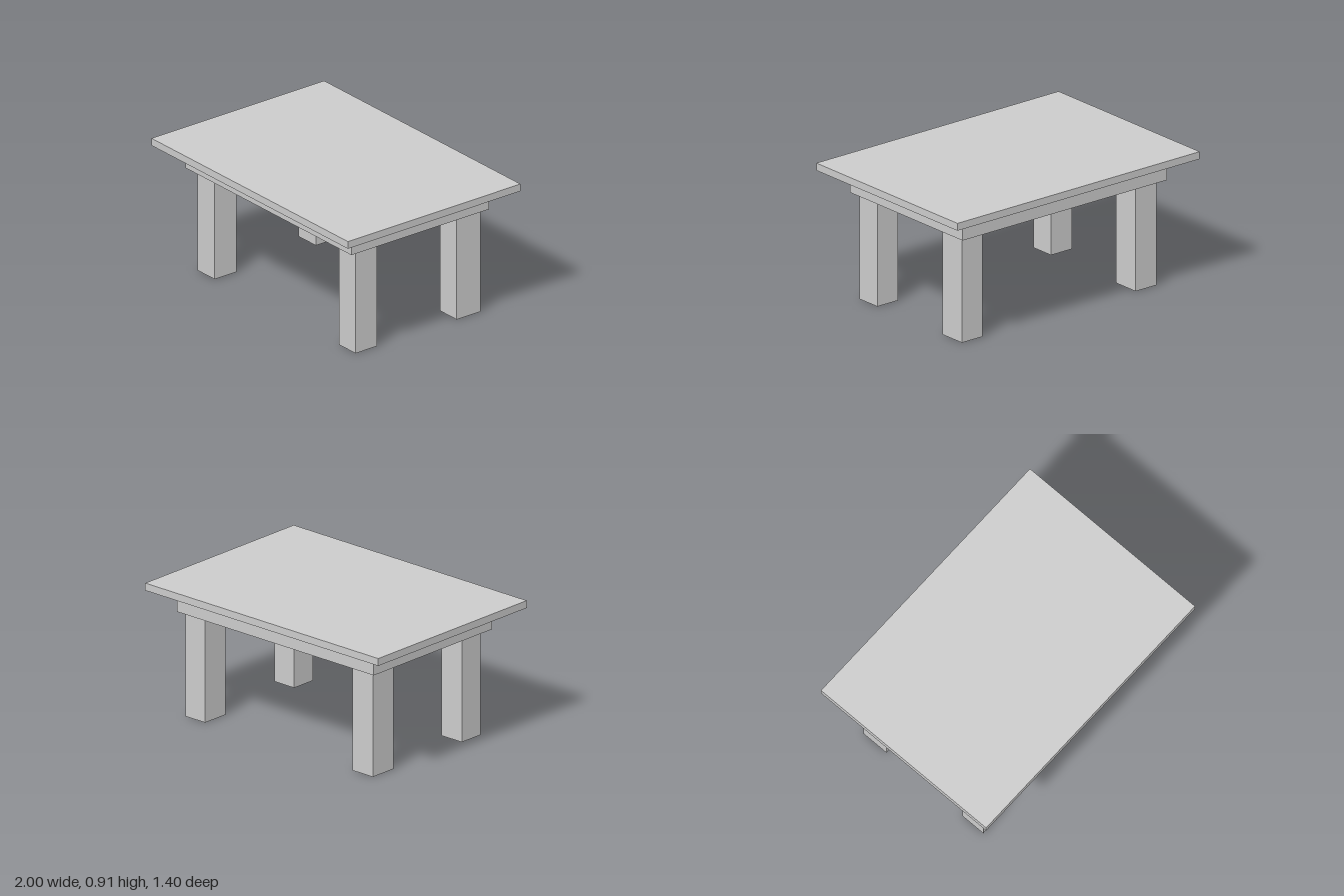
import * as THREE from 'three';

const material = new THREE.MeshStandardMaterial({ color: 0xcccccc, flatShading: true });

// Box given by its low and high limits on each axis
function block(name, [x0, x1], [y0, y1], [z0, z1]) {
  const mesh = new THREE.Mesh(new THREE.BoxGeometry(x1 - x0, y1 - y0, z1 - z0), material);
  mesh.position.set((x0 + x1) / 2, (y0 + y1) / 2, (z0 + z1) / 2);
  mesh.name = name;
  return mesh;
}

export function createModel() {
  const table = new THREE.Group();
  table.name = 'table';

  const top = 0.907, underside = 0.857, apronBottom = 0.714;

  // Overhanging slab
  table.add(block('tableTop', [-1, 1], [underside, top], [-0.7, 0.7]));

  // Apron: four boards forming an open frame, the side boards fitted between front and back
  const apron = new THREE.Group();
  apron.name = 'apron';
  const height = [apronBottom, underside];
  const outerX = [-0.84, 0.847], innerX = [-0.793, 0.817];
  const outerZ = [-0.567, 0.55], innerZ = [-0.524, 0.493];
  apron.add(
    block('frontApron', outerX, height, [innerZ[1], outerZ[1]]),
    block('backApron', outerX, height, [outerZ[0], innerZ[0]]),
    block('leftApron', [innerX[1], outerX[1]], height, innerZ),
    block('rightApron', [outerX[0], innerX[0]], height, innerZ),
  );
  table.add(apron);

  // Square legs standing in the inner corners of the apron
  const legX = { Left: [0.647, 0.816], Right: [-0.792, -0.618] };
  const legZ = { front: [0.316, 0.492], back: [-0.523, -0.329] };
  for (const end of ['front', 'back']) {
    for (const side of ['Left', 'Right']) {
      table.add(block(`${end}${side}Leg`, legX[side], [0, underside], legZ[end]));
    }
  }

  return table;
}
